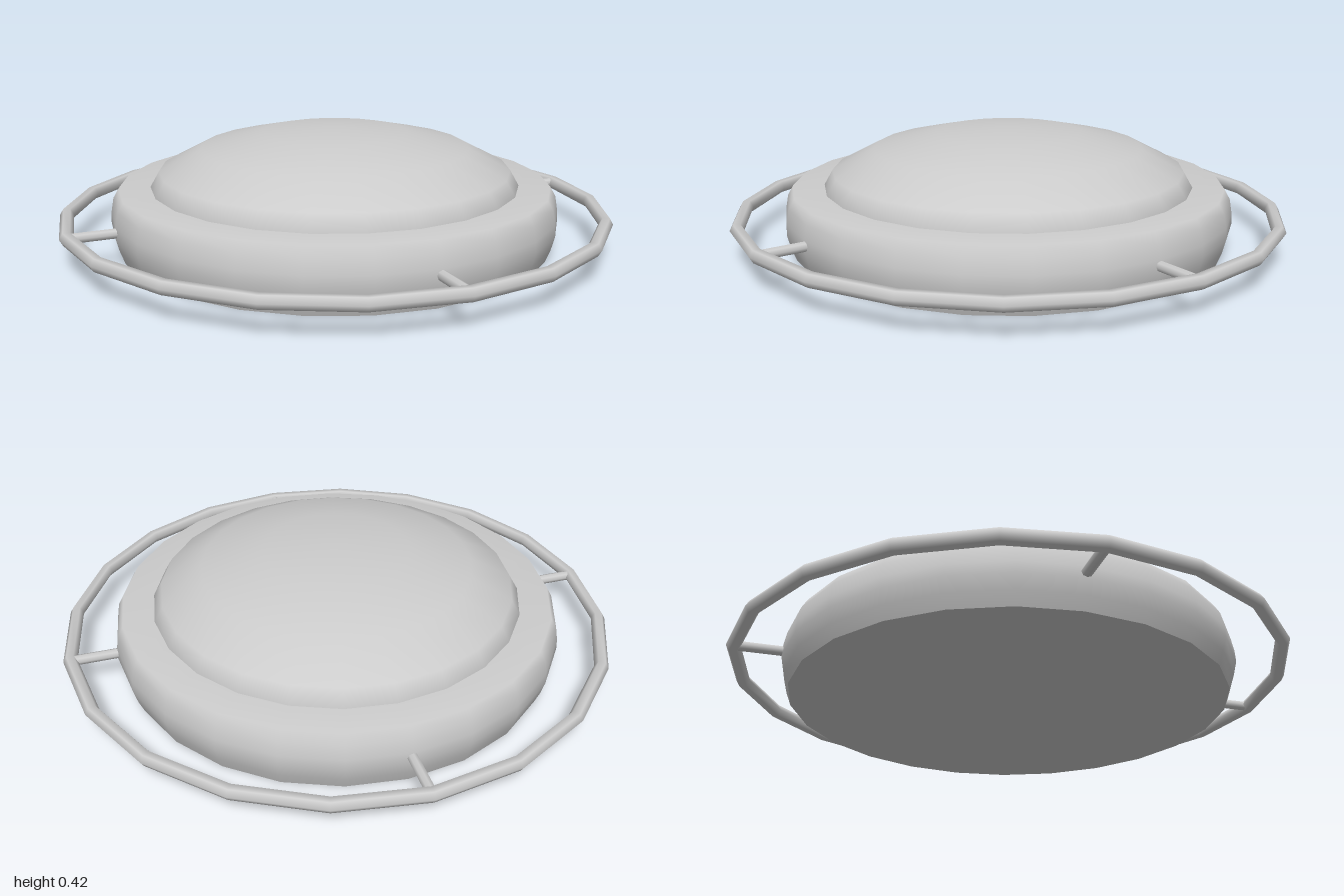
import * as THREE from 'three';

export function createModel() {
  const model = new THREE.Group();
  const material = new THREE.MeshStandardMaterial({ color: 0xcccccc });
  const add = (name, geometry, y = 0) => {
    const mesh = new THREE.Mesh(geometry, material);
    mesh.name = name;
    mesh.position.y = y;
    model.add(mesh);
    return mesh;
  };
  const ringY = 0.12;

  // Rounded drum body, softened towards its upper face
  const profile = [[0.782, 0.004], [0.8, 0.05], [0.813, 0.1], [0.811, 0.14], [0.802, 0.19], [0.782, 0.225], [0.6, 0.226]]
    .map(([r, y]) => new THREE.Vector2(r, y));
  add('body', new THREE.LatheGeometry(profile, 24));

  // Flat underside
  add('underside', new THREE.CircleGeometry(0.782, 24).rotateX(Math.PI / 2), 0.004);

  // Shallow dome rising out of the body
  const dome = new THREE.SphereGeometry(0.69, 24, 4, 0, Math.PI * 2, 0, Math.PI / 2);
  dome.scale(1, 0.238 / 0.69, 1);
  add('dome', dome, 0.19);

  // Outer hoop
  add('hoop', new THREE.TorusGeometry(0.975, 0.025, 6, 20).rotateX(Math.PI / 2), ringY);

  // Four struts joining the body to the hoop
  for (let i = 0; i < 4; i++) {
    const strut = new THREE.CylinderGeometry(0.018, 0.018, 0.2, 8);
    strut.rotateZ(Math.PI / 2).translate(0.87, 0, 0).rotateY(i * Math.PI / 2);
    add('strut', strut, ringY);
  }
  return model;
}
